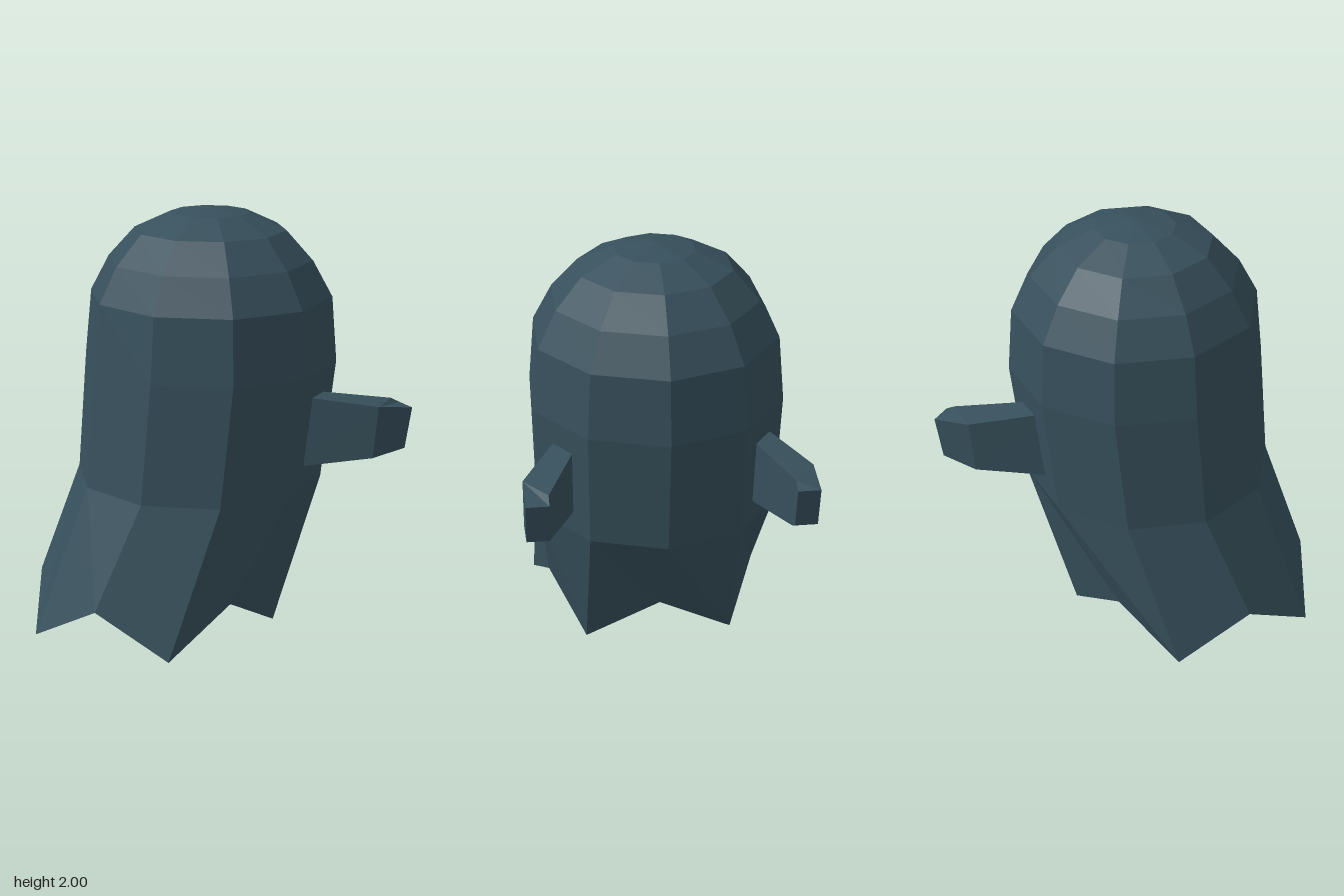
import * as THREE from 'three';

const SIDES = 10;

const material = new THREE.MeshStandardMaterial({
  color: 0x37505c, flatShading: true, side: THREE.DoubleSide,
});

// Skin a series of equal-length loops of [x, y, z] points; optionally close both ends.
function loft(name, loops, capped) {
  const n = loops[0].length;
  const pos = [];
  const tri = (a, b, c) => {
    const [p, q, r] = [a, b, c].map((v) => new THREE.Vector3(...v));
    if (q.clone().sub(p).cross(r.clone().sub(p)).length() > 1e-7) pos.push(...a, ...b, ...c);
  };
  for (let i = 0; i < loops.length - 1; i++) {
    for (let j = 0; j < n; j++) {
      const k = (j + 1) % n;
      const [a, b, c, d] = [loops[i][j], loops[i + 1][j], loops[i + 1][k], loops[i][k]];
      tri(a, b, c);
      tri(a, c, d);
    }
  }
  if (capped) {
    const first = loops[0], last = loops[loops.length - 1];
    for (let j = 1; j < n - 1; j++) {
      tri(first[0], first[j], first[j + 1]);
      tri(last[0], last[j + 1], last[j]);
    }
  }
  const geometry = new THREE.BufferGeometry();
  geometry.setAttribute('position', new THREE.Float32BufferAttribute(pos, 3));
  geometry.computeVertexNormals();
  const mesh = new THREE.Mesh(geometry, material);
  mesh.name = name;
  return mesh;
}

// One horizontal ring of the body, centred on x = cx
function ring(cx, y, r) {
  return Array.from({ length: SIDES }, (_, j) => {
    const a = (j / SIDES) * Math.PI * 2;
    return [cx + r * Math.cos(a), y, r * Math.sin(a)];
  });
}

// Open hem: every second corner is raised and drawn in, leaving five points
function raggedHem() {
  const low = ring(-0.23, 0, 0.61);
  const high = ring(-0.23, 0.2, 0.545);
  return low.map((p, j) => (j % 2 ? p : high[j]));
}

// The ring starts at +x, so odd corners (including the tail at -x) are the points
function makeBody() {
  return loft('body', [
    raggedHem(),
    ring(0.04, 0.7, 0.597),
    ring(0.1, 1.27, 0.61),
    ring(0.103, 1.58, 0.582),
    ring(0.1, 1.75, 0.49),
    ring(0.1, 1.89, 0.363),
    ring(0.1, 1.97, 0.19),
    ring(0.1, 2.0, 0),
  ], false);
}

// Bent arm; corners run outer bottom, outer top, inner top, inner bottom
function makeArm(name, side) {
  const sections = [
    [[0.21, 0.8, 0.43], [0.25, 1.165, 0.43], [0.36, 1.16, 0.37], [0.32, 0.8, 0.37]], // inside body
    [[0.62, 0.86, 0.657], [0.645, 1.107, 0.657], [0.785, 1.107, 0.55], [0.755, 0.857, 0.55]], // bend
    [[0.8, 0.885, 0.655], [0.835, 1.08, 0.655], [0.835, 1.08, 0.55], [0.8, 0.885, 0.55]], // tip
  ];
  const loops = sections.map((s) => {
    const loop = s.map(([x, y, z]) => [x, y, z * side]);
    return side < 0 ? loop.reverse() : loop;
  });
  return loft(name, loops, true);
}

export function createModel() {
  const model = new THREE.Group();
  model.name = 'ghost';
  model.add(makeBody(), makeArm('frontArm', 1), makeArm('backArm', -1));
  return model;
}
